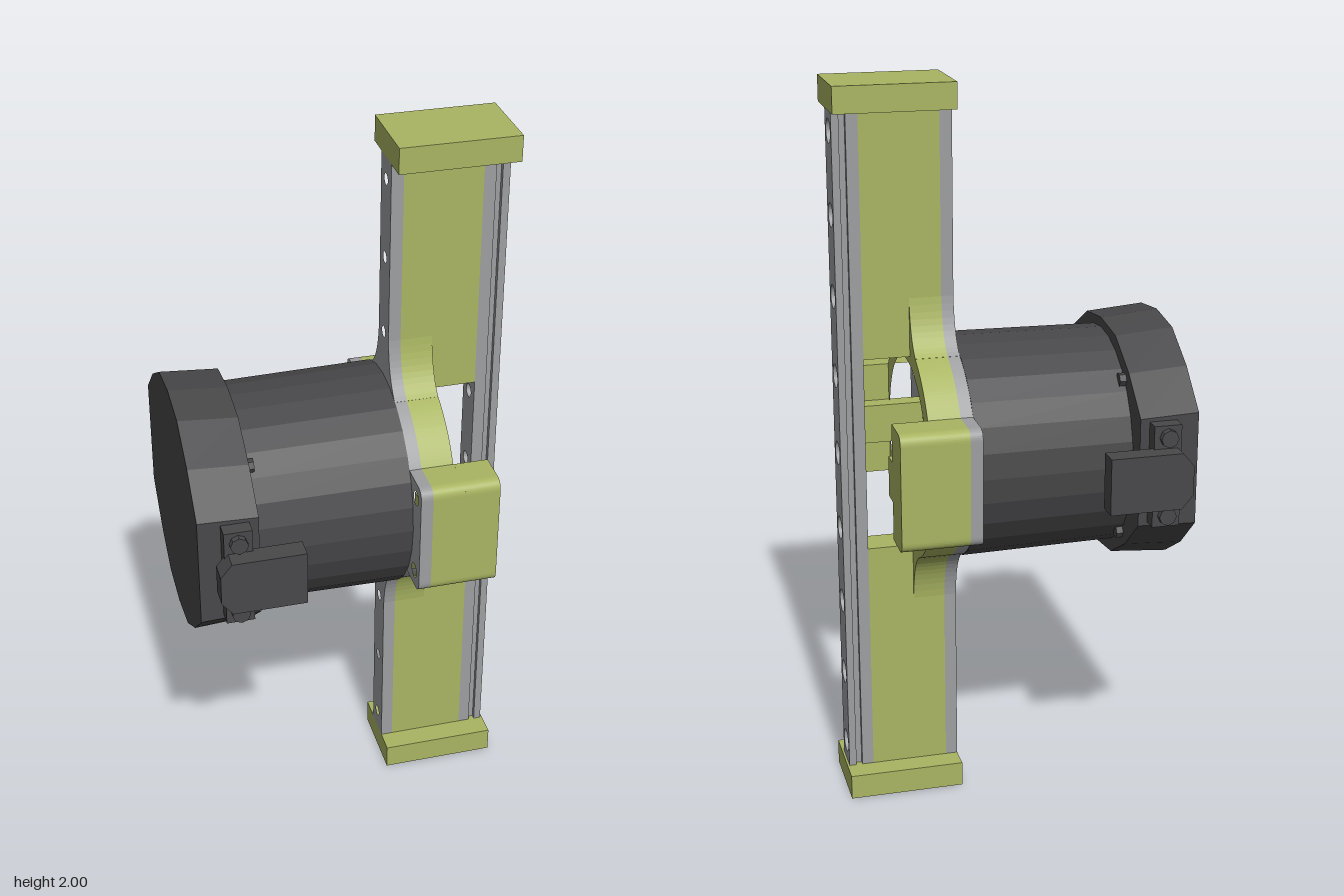
import * as THREE from 'three';

const mat = (color) => new THREE.MeshStandardMaterial({ color, flatShading: true });
const GREEN = mat(0xa9b562), GREY = mat(0x9c9ea0), DARK = mat(0x48484a);
const TAU = Math.PI * 2;

export function createModel() {
  const model = new THREE.Group();

  const add = (name, geo, material, parent = model) => {
    const mesh = new THREE.Mesh(geo, material);
    mesh.name = name;
    parent.add(mesh);
    return mesh;
  };
  // Box given by its limits
  const box = (name, x0, x1, y0, y1, z0, z1, material, parent) => {
    const m = add(name, new THREE.BoxGeometry(x1 - x0, y1 - y0, z1 - z0), material, parent);
    m.position.set((x0 + x1) / 2, (y0 + y1) / 2, (z0 + z1) / 2);
    return m;
  };
  // Shape drawn in (z, y), extruded from x0 to x1
  const plate = (name, shape, x0, x1, material) => {
    const geo = new THREE.ExtrudeGeometry(shape, { depth: x1 - x0, bevelEnabled: false, curveSegments: 24 });
    geo.rotateY(Math.PI / 2).translate(x0, 0, 0);
    return add(name, geo, material);
  };
  const hole = (shape, z, y, r) => {
    const p = new THREE.Path();
    p.absarc(z, y, r, 0, TAU, true);
    shape.holes.push(p);
  };
  const rect = (z0, z1, y0, y1) => new THREE.Shape([
    new THREE.Vector2(z0, y0), new THREE.Vector2(z1, y0), new THREE.Vector2(z1, y1), new THREE.Vector2(z0, y1)]);

  const W = 0.046;                       // half width of beam and rail
  const pitch = Array.from({ length: 9 }, (_, i) => 1 + (i - 4) * 0.218);

  // Frame outline: bar, flare, ring and side wing; one quarter mirrored four ways
  const frameShape = (halfHeight, bore) => {
    const q = new THREE.Path();
    q.moveTo(W, halfHeight);
    q.lineTo(W, 0.43);
    q.quadraticCurveTo(0.055, 0.325, 0.115, 0.283);
    q.absarc(0, 0, 0.305, Math.atan2(0.283, 0.115), Math.atan2(0.16, 0.26), true);
    q.lineTo(0.34, 0.16);
    q.quadraticCurveTo(0.37, 0.16, 0.37, 0.13);
    const a = q.getPoints(10);
    const flip = (pts, sx, sy) => pts.map((p) => new THREE.Vector2(p.x * sx, p.y * sy));
    const pts = [...a, ...flip([...a].reverse(), 1, -1), ...flip(a, -1, -1), ...flip([...a].reverse(), -1, 1)];
    const shape = new THREE.Shape(pts.map((p) => p.add(new THREE.Vector2(0, 1))));
    hole(shape, 0, 1, bore);
    return shape;
  };

  // Grey mounting plate with screw holes
  const mount = frameShape(0.93, 0.205);
  for (const y of pitch) if (Math.abs(y - 1) > 0.4) hole(mount, 0, y, 0.015);
  for (const s of [-1, 1]) for (const t of [-1, 1]) hole(mount, s * 0.325, 1 + t * 0.115, 0.02);
  plate('mountingPlate', mount, 0.13, 0.163, GREY);

  // Green ring with flares
  plate('ringFrame', frameShape(0.44, 0.25), 0.163, 0.25, GREEN);

  // Beam walls and end caps
  for (const s of [-1, 1]) {
    const ys = (a, b) => [1 + s * a, 1 + s * b].sort((m, n) => m - n);
    box('beamWall', 0.163, 0.375, ...ys(0.44, 0.93), -W, W, GREEN);
    box('beamWallInner', 0.25, 0.375, ...ys(0.27, 0.44), -W, W, GREEN);
    box('endCap', 0.13, 0.45, ...ys(0.93, 1), -0.11, 0.11, GREEN);
  }

  // Side grip blocks with inner tabs
  for (const s of [-1, 1]) {
    const b = new THREE.Shape();
    b.moveTo(s * 0.26, 0.84);
    b.lineTo(s * 0.34, 0.84);
    b.quadraticCurveTo(s * 0.37, 0.84, s * 0.37, 0.87);
    b.lineTo(s * 0.37, 1.13);
    b.quadraticCurveTo(s * 0.37, 1.16, s * 0.34, 1.16);
    b.lineTo(s * 0.26, 1.16);
    plate('gripBlock', b, 0.25, 0.345, GREEN);
    const z = [s * 0.21, s * 0.262].sort((m, n) => m - n);
    box('gripTab', 0.163, 0.345, 0.945, 1.055, ...z, GREEN);
  }

  // Linear rail: base, waist and head with counterbored holes
  for (const [name, x0, x1, w, r] of [
    ['railBase', 0.375, 0.407, W, 0.019],
    ['railWaist', 0.407, 0.424, 0.033, 0.019],
    ['railHead', 0.424, 0.444, W, 0.032]]) {
    const s = rect(-w, w, 0.07, 1.93);
    for (const y of pitch) hole(s, 0, y, r);
    plate(name, s, x0, x1, GREY);
  }

  // Motor, built about its own axis
  const motor = new THREE.Group();
  motor.name = 'motor';
  motor.position.y = 1;
  model.add(motor);

  const profile = [[0, -0.3], [0.302, -0.3], [0.308, 0.13], [0.2, 0.13], [0.19, 0.03], [0, 0.03]];
  const body = new THREE.LatheGeometry(profile.map(([r, h]) => new THREE.Vector2(r, h)), 28);
  add('motorBody', body.rotateZ(-Math.PI / 2), DARK, motor);

  // Faceted rear housing, tapering slightly to the front
  const quarter = [[0.355, 0.155], [0.25, 0.252], [0.13, 0.325]];
  const outline = [
    ...quarter, [0, 0.342], ...[...quarter].reverse().map(([z, y]) => [-z, y]),
    ...quarter.map(([z, y]) => [-z, -y]), [0, -0.342], ...[...quarter].reverse().map(([z, y]) => [z, -y])];
  const rear = new THREE.ExtrudeGeometry(
    new THREE.Shape(outline.map(([z, y]) => new THREE.Vector2(z, y))), { depth: 0.16, bevelEnabled: false });
  const p = rear.attributes.position;
  for (let i = 0; i < p.count; i++) if (p.getZ(i) > 0.1) p.setY(i, p.getY(i) * 0.96);
  rear.rotateY(Math.PI / 2).translate(-0.455, 0, 0);
  rear.computeVertexNormals();
  add('rearHousing', rear, DARK, motor);

  // Front opening: hub, spindle and angled ribs
  const along = (r, x0, x1, sides) =>
    new THREE.CylinderGeometry(r, r, x1 - x0, sides).rotateZ(-Math.PI / 2).translate((x0 + x1) / 2, 0, 0);
  add('hub', along(0.07, 0.03, 0.1, 12), DARK, motor);
  add('spindle', along(0.035, 0.1, 0.16, 8), DARK, motor);
  for (let i = 0; i < 8; i++) {
    const pivot = new THREE.Group();
    pivot.name = 'rib';
    pivot.rotation.x = (i / 8) * TAU + 0.2;
    motor.add(pivot);
    const rib = box('ribBlade', 0.03, i % 2 ? 0.12 : 0.08, 0.06, 0.195, -0.014, 0.014, DARK, pivot);
    rib.rotation.x = 0.25;
  }

  // Housing bolts around the body
  for (let i = 0; i < 4; i++) {
    const a = Math.PI / 4 + (i / 4) * TAU;
    const bolt = add('housingBolt', along(0.018, -0.31, -0.277, 6), DARK, motor);
    bolt.position.set(0, Math.sin(a) * 0.306, Math.cos(a) * 0.306);
  }

  // Side brackets with outer covers and screws
  for (const s of [-1, 1]) {
    const zs = (a, b) => [s * a, s * b].sort((m, n) => m - n);
    box('sideBracket', -0.395, -0.32, -0.14, 0.14, ...zs(0.34, 0.395), DARK, motor);
    for (const t of [-1, 1]) {
      const screw = add('bracketScrew', new THREE.CylinderGeometry(0.024, 0.024, 0.02, 8).rotateX(Math.PI / 2), DARK, motor);
      screw.position.set(-0.358, t * 0.108, s * 0.402);
    }
    const c = new THREE.Shape();
    for (const [x, y] of [[-0.19, -0.077], [-0.19, 0.077], [-0.385, 0.077], [-0.415, 0.04], [-0.415, -0.04], [-0.385, -0.077]]) {
      if (c.curves.length || c.currentPoint.x) c.lineTo(x, y); else c.moveTo(x, y);
    }
    const cover = add('sideCover', new THREE.ExtrudeGeometry(c, { depth: 0.057, bevelEnabled: false }), DARK, motor);
    cover.position.z = s > 0 ? 0.385 : -0.442;
  }
  return model;
}
